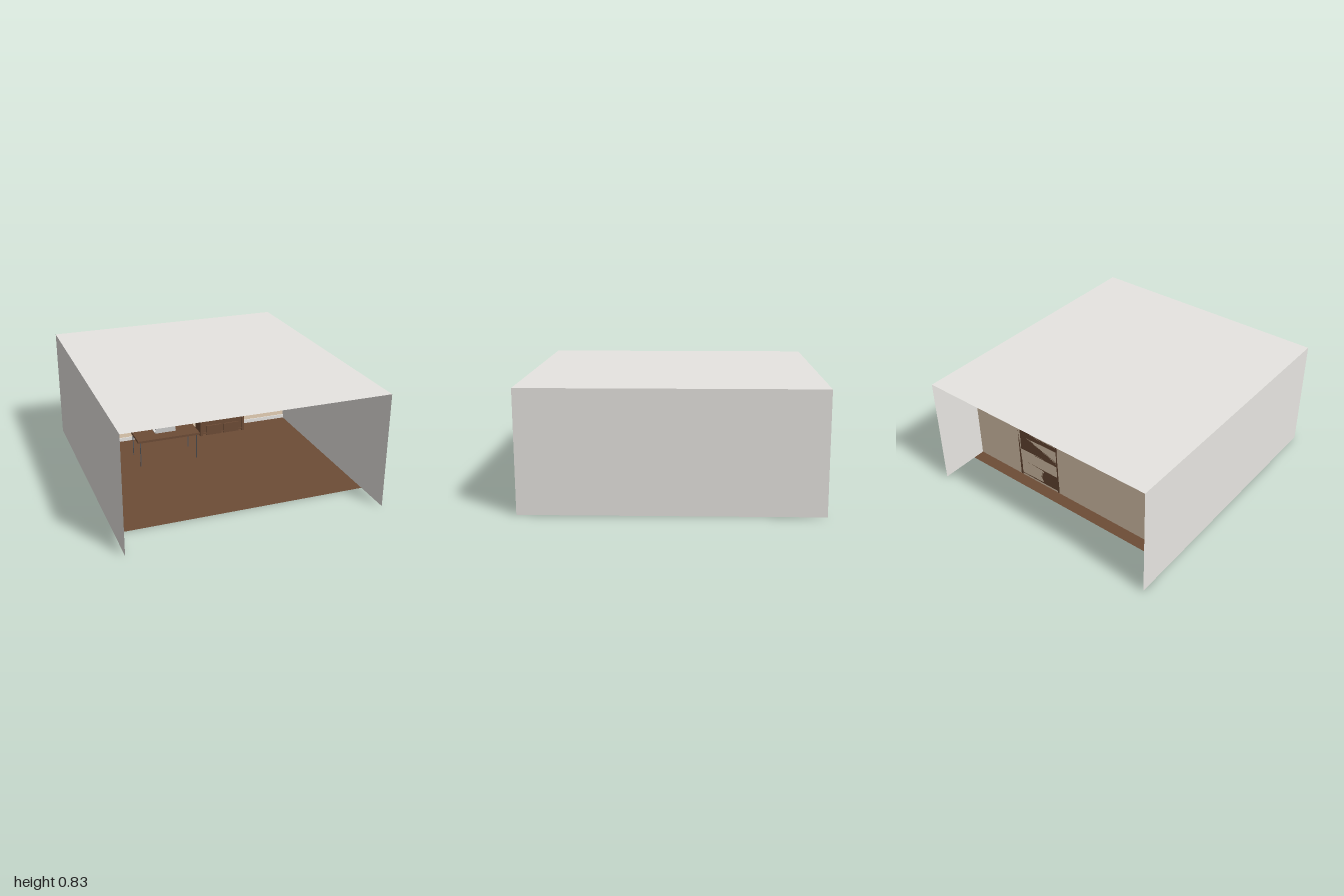
import * as THREE from 'three';

const mat = (name, color, side = THREE.FrontSide) => {
  const m = new THREE.MeshStandardMaterial({ color, side });
  m.name = name;
  return m;
};

export function createModel() {
  const white = mat('white paint', 0xeeece8, THREE.DoubleSide);
  const tan = mat('tan paint', 0xeed7bc, THREE.DoubleSide);
  const wood = mat('brown wood', 0x6d4c36, THREE.DoubleSide);
  const metal = mat('dark metal', 0x55565a);
  const silver = mat('silver', 0xe2e2e0);
  const cream = mat('cream paper', 0xe0d3bd);
  const blueGrey = mat('blue grey', 0x8f979c);
  const darkBook = mat('dark cover', 0x4a3b30);
  const leafMat = mat('dull green', 0x5a5a46, THREE.DoubleSide);

  const model = new THREE.Group();
  model.name = 'officeRoom';
  const group = (name, x = 0, y = 0, z = 0) => {
    const g = new THREE.Group();
    g.name = name;
    g.position.set(x, y, z);
    model.add(g);
    return g;
  };
  const add = (parent, name, geo, material, x = 0, y = 0, z = 0) => {
    const m = new THREE.Mesh(geo, material);
    m.name = name;
    m.position.set(x, y, z);
    parent.add(m);
    return m;
  };
  // box given by its lower and upper limits on each axis
  const box = (parent, name, material, x0, x1, y0, y1, z0, z1) =>
    add(parent, name, new THREE.BoxGeometry(x1 - x0, y1 - y0, z1 - z0), material,
      (x0 + x1) / 2, (y0 + y1) / 2, (z0 + z1) / 2);

  // room shell
  const W = 0.91, H = 0.83, BACK = -0.63;
  const room = group('room');
  const ceiling = add(room, 'ceiling', new THREE.PlaneGeometry(2 * W, 2), white, 0, H, 0);
  ceiling.rotation.x = -Math.PI / 2;
  const floor = add(room, 'floor', new THREE.PlaneGeometry(2 * W, 1.44), wood, 0, 0, 0);
  floor.rotation.x = -Math.PI / 2;
  for (const s of [-1, 1]) {
    const wall = add(room, s > 0 ? 'leftWall' : 'rightWall', new THREE.PlaneGeometry(2, H), white, s * W, H / 2, 0);
    wall.rotation.y = s * Math.PI / 2;
  }
  add(room, 'backWall', new THREE.PlaneGeometry(2 * W, H), tan, 0, H / 2, BACK);
  box(room, 'baseboard', white, -W, W, 0.001, 0.03, BACK + 0.001, BACK + 0.009);

  // desk with thin metal legs
  const desk = group('desk', -0.26, 0, -0.25);
  box(desk, 'deskTop', wood, -0.243, 0.243, 0.198, 0.215, -0.12, 0.12);
  for (const x of [-0.222, 0.222]) {
    for (const z of [-0.105, 0.105]) box(desk, 'deskLeg', metal, x - 0.003, x + 0.003, 0, 0.198, z - 0.003, z + 0.003);
    box(desk, 'legBrace', metal, x - 0.003, x + 0.003, 0.19, 0.198, -0.105, 0.105);
  }

  // laptop facing the rear of the room
  const laptop = group('laptop', -0.26, 0.215, -0.23);
  box(laptop, 'laptopBase', silver, -0.082, 0.082, 0, 0.006, -0.11, 0);
  box(laptop, 'keyboard', metal, -0.065, 0.065, 0.006, 0.007, -0.06, -0.012);
  const lidShape = new THREE.Shape([[-0.082, 0], [0.082, 0], [0.077, 0.066], [-0.077, 0.066]]
    .map(([x, y]) => new THREE.Vector2(x, y)));
  const lid = add(laptop, 'laptopLid', new THREE.ExtrudeGeometry(lidShape, { depth: 0.004, bevelEnabled: false }), silver);
  lid.rotation.x = 0.2;
  box(lid, 'screen', metal, -0.07, 0.07, 0.006, 0.06, -0.001, 0);

  // bookcase: posts, shelves, closed upper bays and open book bay
  const zb = BACK, zf = -0.5;
  const bookcase = group('bookcase');
  for (const x of [0.12, 0.481]) box(bookcase, 'sidePost', wood, x, x + 0.019, 0, 0.503, zb, zf);
  for (const [y0, y1] of [[0.488, 0.503], [0.366, 0.377], [0.238, 0.255], [0.128, 0.14], [0.015, 0.025]]) {
    box(bookcase, 'shelf', wood, 0.139, 0.481, y0, y1, zb, zf);
  }
  for (const [y0, y1] of [[0.377, 0.488], [0.255, 0.366]]) {
    box(bookcase, 'upperPanel', wood, 0.139, 0.481, y0, y1, zb, zf - 0.01);
  }
  box(bookcase, 'lowerCabinet', wood, 0.139, 0.481, 0.025, 0.128, zb, zf - 0.008);
  for (const [x0, x1] of [[0.17, 0.302], [0.317, 0.45]]) {
    box(bookcase, 'cabinetDoor', wood, x0, x1, 0.004, 0.085, zf - 0.008, zf + 0.003);
  }

  // row of books with a repeating rhythm of widths, heights and covers
  const books = group('books');
  const covers = [cream, darkBook, silver, cream, blueGrey, darkBook, silver, cream, darkBook, cream, blueGrey];
  let x = 0.15;
  for (let i = 0; x < 0.468; i++) {
    const w = 0.007 + ((i * 5) % 7) * 0.0012;
    const h = 0.078 + ((i * 3) % 5) * 0.004;
    box(books, 'book', covers[i % covers.length], x, x + w, 0.14, 0.14 + h, -0.6, -0.515 - (i % 3) * 0.004);
    x += w + 0.002;
  }

  // vase with a small spray of leaves
  const plant = group('plant', 0.183, 0.503, -0.56);
  const profile = [[0, 0], [0.009, 0], [0.013, 0.008], [0.011, 0.016], [0.005, 0.025], [0.007, 0.031]]
    .map(([r, y]) => new THREE.Vector2(r, y));
  add(plant, 'vase', new THREE.LatheGeometry(profile, 16), white);
  const leafShape = new THREE.Shape();
  leafShape.moveTo(0, 0);
  leafShape.quadraticCurveTo(0.005, 0.008, 0, 0.02);
  leafShape.quadraticCurveTo(-0.005, 0.008, 0, 0);
  const leafGeo = new THREE.ShapeGeometry(leafShape, 4);
  for (let i = 0; i < 7; i++) {
    const a = i * 2.4, r = 0.02 + (i % 3) * 0.005, top = 0.048 + (i % 4) * 0.008;
    const tip = new THREE.Vector3(Math.cos(a) * r, top, Math.sin(a) * r);
    const curve = new THREE.QuadraticBezierCurve3(new THREE.Vector3(0, 0.02, 0),
      new THREE.Vector3(tip.x * 0.2, top * 0.85, tip.z * 0.2), tip);
    add(plant, 'stem', new THREE.TubeGeometry(curve, 6, 0.0008, 4), leafMat);
    for (const t of [0.6, 0.8, 1]) {
      const p = curve.getPoint(t);
      const leaf = add(plant, 'leaf', leafGeo, leafMat, p.x, p.y, p.z);
      leaf.quaternion.setFromUnitVectors(new THREE.Vector3(0, 1, 0),
        new THREE.Vector3(Math.cos(a + (t - 0.8) * 5), 0.4, Math.sin(a + (t - 0.8) * 5)).normalize());
      leaf.scale.setScalar(0.8);
    }
  }
  return model;
}
